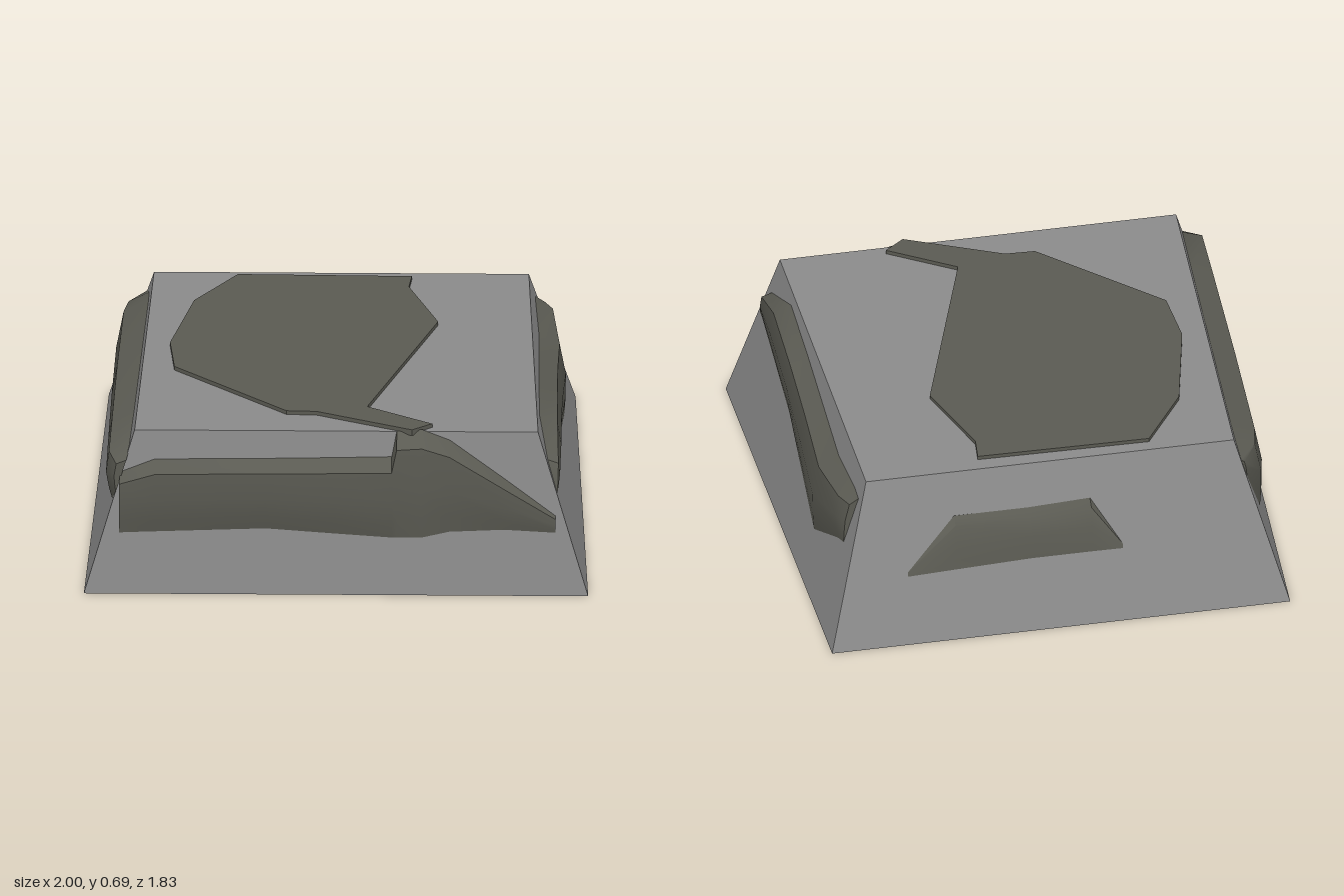
import * as THREE from 'three';
import { toCreasedNormals } from 'three/addons/utils/BufferGeometryUtils.js';

const stone = new THREE.MeshStandardMaterial({ color: 0x8a8a8a });
stone.name = 'light grey stone';
const rock = new THREE.MeshStandardMaterial({ color: 0x5a5a52, side: THREE.DoubleSide });
rock.name = 'dark grey rock';

// Sloping planes of the block, each a function of the other two coordinates
const sideX = (z, y) => 0.9625 + 0.041 * z - 0.295 * y;
const frontZ = (y) => 0.915 - 0.142 * y;
const backZ = (y) => -0.915 + 0.36 * y;
const topY = (z) => 0.661 + 0.0165 * z;

// Rock bulge: stations [u, low, high, lift] along a face, rising gently to a crest
const bulgeProfile = [[0, -0.01], [0.2, 0.35], [0.5, 0.8], [0.88, 1], [1, -0.01]];

function bulge(name, stations, place) {
  const first = stations[0], last = stations[stations.length - 1];
  const rows = [[...first.slice(0, 3), 0], ...stations, [...last.slice(0, 3), 0]];
  const n = bulgeProfile.length;
  const pos = [], index = [];
  rows.forEach(([u, low, high, lift], i) => {
    bulgeProfile.forEach(([t, k], j) => {
      pos.push(...place(u, low + (high - low) * t, lift * k));
      if (i && j) {
        const d = i * n + j, c = d - 1, b = d - n, a = b - 1;
        index.push(a, c, b, c, d, b);
      }
    });
  });
  const g = new THREE.BufferGeometry();
  g.setAttribute('position', new THREE.Float32BufferAttribute(pos, 3));
  g.setIndex(index);
  const mesh = new THREE.Mesh(toCreasedNormals(g, 0.7), rock);
  mesh.name = name;
  return mesh;
}

export function createModel() {
  const model = new THREE.Group();
  model.name = 'stoneBlock';

  // Tapered block: a box with its corners moved
  const box = new THREE.BoxGeometry(2, 2, 2);
  const p = box.attributes.position;
  for (let i = 0; i < p.count; i++) {
    const front = p.getZ(i) > 0, top = p.getY(i) > 0;
    const x = top ? (front ? 0.8 : 0.743) : (front ? 1 : 0.925);
    const y = top ? (front ? 0.674 : 0.65) : 0;
    const z = front ? frontZ(y) : backZ(y);
    p.setXYZ(i, Math.sign(p.getX(i)) * x, y, z);
  }
  const block = new THREE.Mesh(toCreasedNormals(box, 0.2), stone);
  block.name = 'taperedBlock';
  model.add(block);

  // Thin rock slab on the sloping top
  const outline = [
    [-0.41, -0.63], [0.28, -0.62], [0.27, -0.52], [0.39, -0.19], [0.12, 0.62],
    [0.38, 0.78], [0.3, 0.84], [-0.08, 0.67], [-0.2, 0.665], [-0.65, 0.25],
    [-0.67, 0.02], [-0.58, -0.38],
  ];
  const shape = new THREE.Shape(outline.map(([x, z]) => new THREE.Vector2(x, -z)));
  const slab = new THREE.ExtrudeGeometry(shape, { depth: 0.026, bevelEnabled: false });
  slab.rotateX(-Math.PI / 2);
  const s = slab.attributes.position;
  for (let i = 0; i < s.count; i++) s.setY(i, s.getY(i) - 0.01 + topY(s.getZ(i)));
  slab.computeVertexNormals();
  const topRock = new THREE.Mesh(slab, rock);
  topRock.name = 'topRock';
  model.add(topRock);

  // Rock bulges on the four sloping sides
  model.add(
    bulge('frontRock', [
      [-0.86, 0.25, 0.5, 0.045], [-0.72, 0.255, 0.555, 0.065], [-0.28, 0.27, 0.56, 0.065],
      [0, 0.25, 0.565, 0.065], [0.22, 0.235, 0.57, 0.065], [0.24, 0.235, 0.675, 0.06],
      [0.34, 0.235, 0.682, 0.06], [0.45, 0.26, 0.64, 0.06], [0.67, 0.27, 0.48, 0.045],
      [0.87, 0.26, 0.33, 0.015],
    ], (x, y, d) => [x, y, frontZ(y) + d]),
    bulge('leftRock', [
      [0.83, 0.41, 0.44, 0.01], [0.79, 0.41, 0.54, 0.04], [0.57, 0.38, 0.63, 0.065],
      [0.25, 0.34, 0.605, 0.065], [-0.05, 0.27, 0.575, 0.065], [-0.35, 0.2, 0.545, 0.07],
      [-0.6, 0.33, 0.565, 0.06], [-0.665, 0.355, 0.56, 0.03],
    ], (z, y, d) => [sideX(z, y) + d, y, z]),
    bulge('rightRock', [
      [-0.7, 0.48, 0.56, 0.01], [-0.6, 0.25, 0.6, 0.07], [-0.5, 0.2, 0.61, 0.085],
      [0, 0.26, 0.61, 0.085], [0.5, 0.32, 0.61, 0.08], [0.8, 0.36, 0.6, 0.075],
      [0.86, 0.42, 0.56, 0.035],
    ], (z, y, d) => [-sideX(z, y) - d, y, z]),
    bulge('backRock', [
      [0.6, 0.26, 0.28, 0], [0.4, 0.27, 0.48, 0.025], [0.1, 0.28, 0.48, 0.025],
      [-0.15, 0.28, 0.49, 0.025], [-0.27, 0.28, 0.3, 0],
    ], (x, y, d) => [x, y, backZ(y) - d]),
  );
  return model;
}
